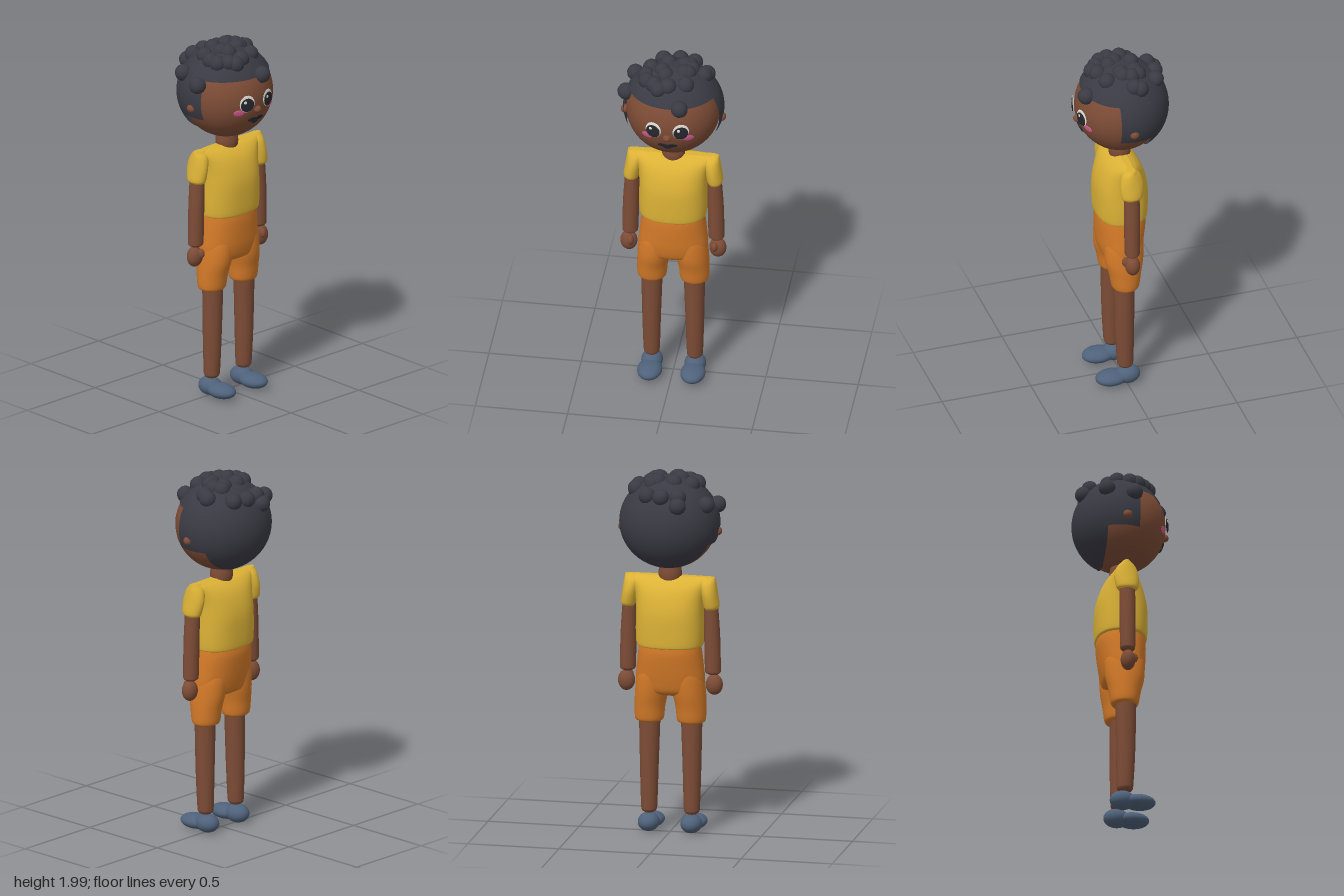
import * as THREE from 'three';
import { mergeGeometries } from 'three/addons/utils/BufferGeometryUtils.js';
import { ParametricGeometry } from 'three/addons/geometries/ParametricGeometry.js';

const material = (name, color, side = THREE.FrontSide) => {
  const m = new THREE.MeshStandardMaterial({ color, side });
  m.name = name;
  return m;
};

// Smooth closed body from rings [y, centreX, centreZ, radiusX, radiusZ], bottom to top.
function loft(rings, power = 1, steps = 28, sides = 40) {
  const centres = new THREE.CatmullRomCurve3(rings.map(r => new THREE.Vector3(r[1], r[0], r[2])), false, 'catmullrom');
  const radii = new THREE.CatmullRomCurve3(rings.map(r => new THREE.Vector3(r[3], r[4], 0)), false, 'catmullrom');
  const rows = [[0, 0], [0, 1]];
  for (let i = 0; i <= steps; i++) rows.push([i / steps, 1]);
  rows.push([1, 1], [1, 0]);
  const bend = v => Math.sign(v) * Math.abs(v) ** power;
  const pos = [], index = [];
  rows.forEach(([t, k], i) => {
    const c = centres.getPoint(t), r = radii.getPoint(t);
    for (let j = 0; j < sides; j++) {
      const a = j / sides * Math.PI * 2;
      pos.push(c.x + k * r.x * bend(Math.cos(a)), c.y, c.z + k * r.y * bend(Math.sin(a)));
      if (i === rows.length - 1) continue;
      const n = (j + 1) % sides, p = i * sides, q = p + sides;
      index.push(p + j, q + j, p + n, p + n, q + j, q + n);
    }
  });
  const g = new THREE.BufferGeometry();
  g.setAttribute('position', new THREE.Float32BufferAttribute(pos, 3));
  g.setIndex(index);
  g.computeVertexNormals();
  return g;
}

const HEAD = { y: 1.715, rx: 0.253, ry: 0.25, rz: 0.242 };
const HAIR = { y: 1.72, z: -0.01, rx: 0.272, ry: 0.255, rz: 0.253 };

// Hair shell: three bands of an ellipsoid, each trimmed at its own front limit in z.
function hairShell() {
  const a1 = Math.acos(0.12 / HAIR.ry), a2 = Math.acos(-0.1 / HAIR.ry);
  const bands = [[0.001, a1, 1], [a1, a2, 0.07], [a2, Math.PI - 0.001, -0.1]];
  return mergeGeometries(bands.map(([from, to, limit]) => new ParametricGeometry((u, v, out) => {
    const a = from + (to - from) * v, s = Math.sin(a);
    const reach = Math.acos(THREE.MathUtils.clamp((HAIR.z - limit) / (HAIR.rz * s), -1, 1));
    const turn = (1 - 2 * u) * reach;
    out.set(HAIR.rx * s * Math.sin(turn), HAIR.y + HAIR.ry * Math.cos(a), HAIR.z - HAIR.rz * s * Math.cos(turn));
  }, 72, 24)));
}

// Curl positions [x, z] over the scalp
const CURLS = [
  [-0.087, -0.214], [-0.08, -0.178], [0.009, -0.193], [0.089, -0.173], [-0.221, -0.105], [-0.252, 0.038],
  [-0.037, -0.073], [-0.125, -0.037], [-0.143, 0.027], [-0.134, 0.07], [-0.057, 0.014], [-0.036, 0.05],
  [-0.089, 0.107], [-0.062, 0.135], [-0.011, 0.121], [0.08, 0.096], [0.052, -0.066], [0.08, -0.077],
  [0.095, -0.036], [0.059, 0.014], [0.08, 0.009], [0.173, -0.062], [0.162, -0.03], [0.062, 0.208],
];

export function createModel() {
  const model = new THREE.Group();
  model.name = 'boy';
  const skin = material('skin', 0x7d4c36);
  const hair = material('hair', 0x3a3a44, THREE.DoubleSide);
  const yellow = material('shirt yellow', 0xdcb236);
  const orange = material('shorts orange', 0xd47a28);
  const slate = material('shoe slate', 0x4f627b);
  const dark = material('eye dark', 0x25282e);
  const white = material('eye white', 0xe6e0d6);
  const pink = material('cheek pink', 0xcf5a8c);

  const add = (name, geometry, mat, parent = model) => {
    const mesh = new THREE.Mesh(geometry, mat);
    mesh.name = name;
    parent.add(mesh);
    return mesh;
  };
  const ball = (name, mat, [x, y, z], [rx, ry, rz], parent = model, detail = 32) => {
    const mesh = add(name, new THREE.SphereGeometry(1, detail, Math.ceil(detail * 0.75)), mat, parent);
    mesh.position.set(x, y, z);
    mesh.scale.set(rx, ry, rz);
    return mesh;
  };

  // Head, neck and hair
  const head = new THREE.Group();
  head.name = 'head';
  model.add(head);
  ball('face', skin, [0, HEAD.y, 0], [HEAD.rx, HEAD.ry, HEAD.rz], head, 56);
  add('neck', loft([[1.38, 0, 0, 0.055, 0.052], [1.43, 0, 0, 0.063, 0.06], [1.5, 0, 0, 0.055, 0.052]], 1, 10), skin);
  add('hairShell', hairShell(), hair, head);
  const curls = new THREE.Group();
  curls.name = 'curls';
  head.add(curls);
  for (const [x, z] of CURLS) {
    const h = Math.sqrt(Math.max(0, 1 - (x / HAIR.rx) ** 2 - ((z - HAIR.z) / HAIR.rz) ** 2));
    ball('curl', hair, [x, HAIR.y + 0.235 * h ** 0.8, z], [0.046, 0.046, 0.046], curls, 14);
  }

  // Thin face details lying on the head surface
  const patch = (name, mat, x, y, rx, ry, lift, depth = 0.004) => {
    const dy = y - HEAD.y;
    const z = HEAD.rz * Math.sqrt(1 - (x / HEAD.rx) ** 2 - (dy / HEAD.ry) ** 2);
    const n = new THREE.Vector3(x / HEAD.rx ** 2, dy / HEAD.ry ** 2, z / HEAD.rz ** 2).normalize();
    const p = new THREE.Vector3(x, y, z).addScaledVector(n, lift);
    const mesh = ball(name, mat, p.toArray(), [rx, ry, depth], head, 24);
    mesh.lookAt(p.add(n));
  };
  ball('nose', skin, [0, 1.67, 0.239], [0.023, 0.02, 0.021], head, 20);
  patch('lowerLip', dark, 0, 1.598, 0.022, 0.012, 0.003);

  // Hips and torso
  add('shortsHips', loft([
    [0.765, 0, 0.005, 0.11, 0.06], [0.79, 0, 0.007, 0.175, 0.1], [0.85, 0, 0.007, 0.187, 0.118],
    [0.93, 0, 0.003, 0.18, 0.128], [1.0, 0, 0, 0.172, 0.133], [1.045, 0, 0, 0.165, 0.13],
  ], 0.9), orange);
  add('shirtBody', loft([
    [1.038, 0, 0, 0.172, 0.13], [1.05, 0, 0, 0.181, 0.138], [1.12, 0, 0, 0.184, 0.141], [1.22, 0, 0, 0.183, 0.139],
    [1.3, 0, 0, 0.186, 0.122], [1.36, 0, 0, 0.2, 0.095], [1.4, 0, 0, 0.226, 0.058], [1.42, 0, 0, 0.242, 0.02],
  ], 0.82, 40, 56), yellow);

  for (const s of [1, -1]) {
    const side = s > 0 ? 'left' : 'right';

    // Face sides
    ball(side + 'Ear', skin, [0.262 * s, 1.677, 0], [0.023, 0.024, 0.026], head, 16);
    patch(side + 'EyeWhite', white, 0.073 * s, 1.718, 0.045, 0.047, 0.006);
    patch(side + 'Iris', dark, 0.073 * s, 1.712, 0.04, 0.038, 0.01);
    patch(side + 'EyeGlint', white, 0.073 * s - 0.012, 1.728, 0.009, 0.009, 0.014, 0.002);
    patch(side + 'Cheek', pink, 0.112 * s, 1.668, 0.031, 0.019, 0.002);
    patch(side + 'Moustache', dark, 0.025 * s, 1.617, 0.029, 0.014, 0.004);

    // Sleeve, arm and hand
    add(side + 'Sleeve', loft([
      [1.245, 0.225 * s, 0.003, 0.036, 0.048], [1.265, 0.226 * s, 0.003, 0.043, 0.06], [1.33, 0.215 * s, 0, 0.045, 0.066],
      [1.385, 0.205 * s, 0, 0.047, 0.052], [1.419, 0.204 * s, 0, 0.042, 0.02],
    ]), yellow);
    add(side + 'Arm', loft([
      [0.882, 0.234 * s, 0.004, 0.024, 0.024], [0.893, 0.234 * s, 0.004, 0.039, 0.037], [0.92, 0.233 * s, 0.004, 0.043, 0.041],
      [1.1, 0.229 * s, 0.004, 0.043, 0.043], [1.28, 0.222 * s, 0.003, 0.038, 0.042],
    ]), skin);
    ball(side + 'Hand', skin, [0.241 * s, 0.826, 0.005], [0.046, 0.057, 0.04]);
    ball(side + 'Thumb', skin, [0.227 * s, 0.846, 0.038], [0.018, 0.028, 0.022], model, 20);

    // Shorts leg, leg and shoe
    add(side + 'ShortsLeg', loft([
      [0.612, 0.115 * s, 0.005, 0.064, 0.06], [0.628, 0.115 * s, 0.005, 0.078, 0.075], [0.7, 0.112 * s, 0.006, 0.083, 0.087],
      [0.78, 0.102 * s, 0.008, 0.09, 0.104], [0.87, 0.09 * s, 0.006, 0.092, 0.108], [0.93, 0.08 * s, 0.004, 0.08, 0.1],
    ]), orange);
    add(side + 'Leg', loft([
      [0.104, 0.117 * s, 0.006, 0.026, 0.026], [0.116, 0.117 * s, 0.006, 0.039, 0.04], [0.15, 0.117 * s, 0.007, 0.044, 0.045],
      [0.35, 0.117 * s, 0.01, 0.05, 0.052], [0.64, 0.115 * s, 0.012, 0.058, 0.056],
    ]), skin);
    ball(side + 'ShoeToe', slate, [0.117 * s, 0.045, 0.082], [0.067, 0.04, 0.09]);
    ball(side + 'ShoeHeel', slate, [0.117 * s, 0.052, -0.006], [0.058, 0.051, 0.07]);
  }
  return model;
}
